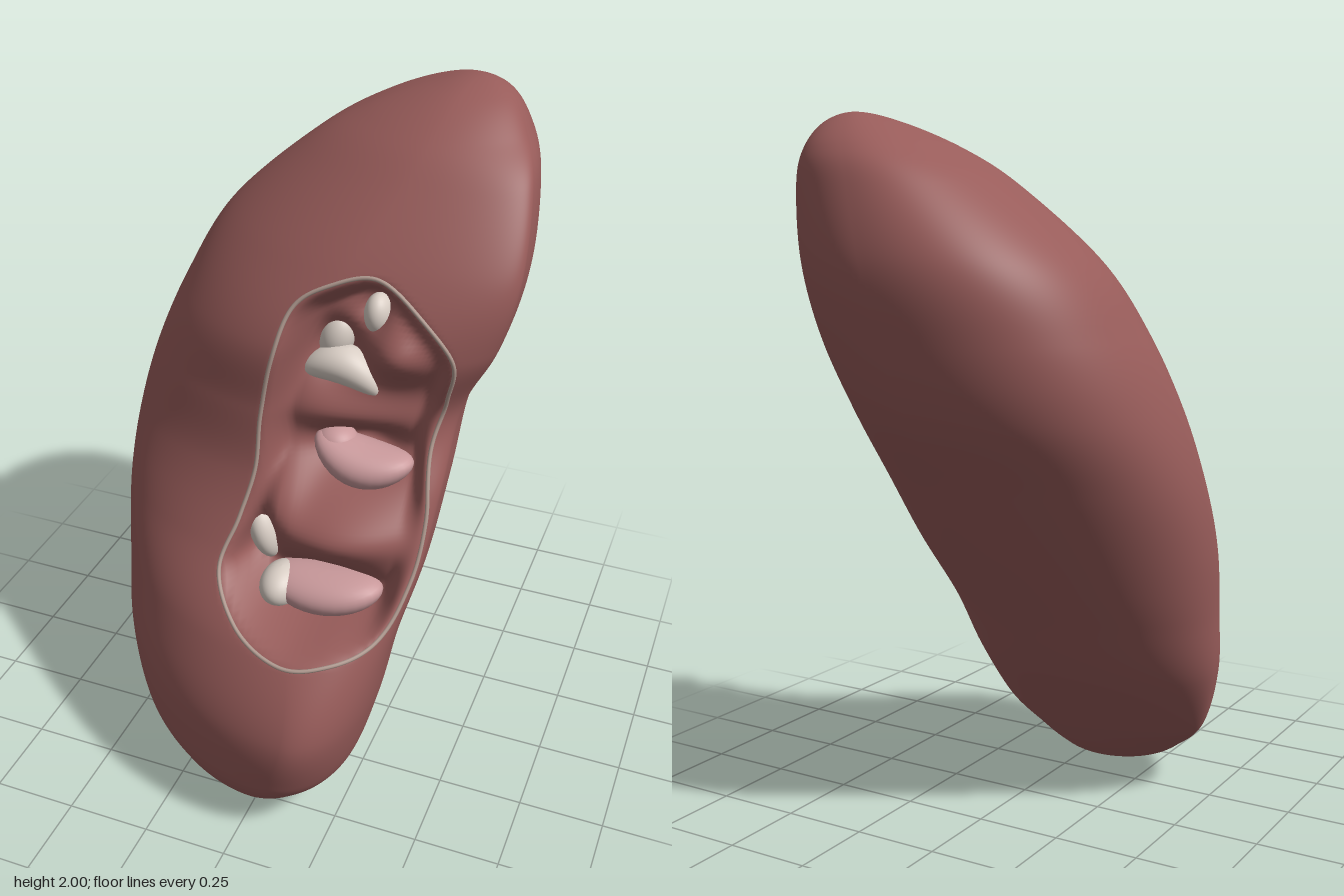
import * as THREE from 'three';

const RED = 0x985c5a, PALE = 0xd9cec5, PINK = 0xc9999b, RIM = 0xb09a90;
const { smoothstep, clamp } = THREE.MathUtils;
const mat = (color) => new THREE.MeshStandardMaterial({ color, side: THREE.DoubleSide });

// Horizontal slices: y, left x & its z, right x & its z, back z & its x, front z & its x
const SLICES = [
  [0, -0.06, 0.42, -0.06, 0.42, 0.42, -0.06, 0.42, -0.06],
  [0.018, -0.18, 0.40, 0.05, 0.44, 0.34, -0.08, 0.50, -0.04],
  [0.05, -0.27, 0.37, 0.12, 0.45, 0.29, -0.10, 0.555, 0.0],
  [0.11, -0.36, 0.32, 0.19, 0.45, 0.22, -0.12, 0.61, 0.03],
  [0.21, -0.465, 0.25, 0.275, 0.42, 0.12, -0.14, 0.657, 0.09],
  [0.4, -0.54, 0.16, 0.33, 0.39, -0.05, -0.14, 0.675, 0.15],
  [0.6, -0.565, 0.10, 0.365, 0.36, -0.19, -0.12, 0.575, 0.13],
  [0.8, -0.58, 0.05, 0.41, 0.27, -0.33, -0.08, 0.39, 0.03],
  [1.0, -0.57, -0.02, 0.43, 0.17, -0.46, -0.04, 0.285, 0.0],
  [1.2, -0.53, -0.10, 0.44, 0.03, -0.585, 0.0, 0.255, -0.02],
  [1.4, -0.46, -0.20, 0.53, 0.05, -0.65, 0.04, 0.245, 0.02],
  [1.6, -0.35, -0.26, 0.575, 0.03, -0.675, 0.08, 0.15, 0.13],
  [1.8, -0.13, -0.29, 0.555, -0.10, -0.63, 0.15, 0.0, 0.24],
  [1.9, 0.03, -0.31, 0.50, -0.22, -0.57, 0.21, -0.10, 0.28],
  [1.972, 0.20, -0.34, 0.43, -0.30, -0.46, 0.28, -0.22, 0.31],
  [2, 0.33, -0.35, 0.33, -0.35, -0.35, 0.33, -0.35, 0.33],
];
const LAST = SLICES.length - 1;

// A row of the table; past either pole it is mirrored through the pole, so the ends are round
function sliceRow(k) {
  if (k >= 0 && k <= LAST) return SLICES[k];
  const pole = SLICES[k < 0 ? 0 : LAST], next = SLICES[k < 0 ? 1 : LAST - 1];
  return next.map((q, c) => (c === 0 ? q : 2 * pole[c] - q));
}

// Smooth slice at parameter v in 0..1 (cubic through the rows)
function slice(v) {
  const f = Math.min(v * LAST, LAST - 1e-6), i = Math.floor(f), t = f - i;
  const [p, q, r, s] = [i - 1, i, i + 1, i + 2].map(sliceRow);
  return q.map((b, c) => {
    const a = p[c], d = r[c], e = s[c];
    return b + 0.5 * t * (d - a + t * (2 * a - 5 * b + 4 * d - e + t * (3 * (b - d) + e - a)));
  });
}

function sliceAtY(y) {
  let lo = 0, hi = 1;
  for (let k = 0; k < 30; k++) {
    const m = (lo + hi) / 2;
    if (slice(m)[0] < y) lo = m; else hi = m;
  }
  return slice(lo);
}

// Fullness of a quarter of a slice: 1 is an ellipse, below 1 is fuller, above 1 is flatter
function fullness(y, right, front) {
  if (front && right) return 1 - 0.18 * smoothstep(y, 0.6, 0.8) * (1 - smoothstep(y, 0.95, 1.15));
  if (front) return 1.16 - 0.1 * smoothstep(y, 0.5, 0.9);
  return right ? 1 : 1 - 0.16 * smoothstep(y, 0.7, 1.3);
}

// Height of the uncut front surface
function frontZ(x, y) {
  const [, xl, zl, xr, zr, , , zf, xf] = sliceAtY(y);
  const right = x > xf, p = fullness(y, right, true), zs = right ? zr : zl;
  const u = Math.min(1, right ? (x - xf) / (xr - xf) : (xf - x) / (xf - xl));
  return zs + (zf - zs) * (1 - u ** (2 / p)) ** (p / 2);
}

// Outline of the opening, as seen from the front
const OPENING = new THREE.CatmullRomCurve3([
  [0.22, 1.6], [0.34, 1.53], [0.44, 1.4], [0.42, 1.27], [0.39, 1.13], [0.41, 0.95], [0.395, 0.78],
  [0.34, 0.65], [0.22, 0.61], [0.1, 0.6], [-0.05, 0.65], [-0.14, 0.75], [-0.11, 0.88],
  [-0.08, 1.02], [-0.07, 1.18], [-0.035, 1.37], [0.01, 1.51], [0.1, 1.57],
].map(([x, y]) => new THREE.Vector3(x, y, 0)), true).getPoints(120);

// Distance inside the opening, 0 outside it
function insideDistance(x, y) {
  let inside = false, best = 1;
  for (let i = 0; i < OPENING.length - 1; i++) {
    const a = OPENING[i], b = OPENING[i + 1], dx = b.x - a.x, dy = b.y - a.y;
    if ((a.y > y) !== (b.y > y) && x < a.x + (y - a.y) * dx / dy) inside = !inside;
    const t = clamp(((x - a.x) * dx + (y - a.y) * dy) / (dx * dx + dy * dy), 0, 1);
    best = Math.min(best, Math.hypot(x - a.x - dx * t, y - a.y - dy * t));
  }
  return inside ? best : 0;
}

// Folds (negative) and pits (positive) of the hollow: x, y, x radius, y radius, depth
const RELIEF = [
  [0.18, 0.89, 0.26, 0.09, -0.12], [0.30, 1.40, 0.11, 0.09, -0.08], [0.16, 1.19, 0.2, 0.06, -0.03],
  [0.0, 0.98, 0.07, 0.09, -0.05], [0.11, 1.36, 0.09, 0.09, 0.1], [0.2, 1.49, 0.05, 0.05, 0.06],
  [0.19, 1.07, 0.13, 0.06, 0.11], [0.12, 0.71, 0.2, 0.06, 0.13], [-0.06, 0.81, 0.05, 0.08, 0.08],
];
function hollowDepth(x, y) {
  const edge = smoothstep(insideDistance(x, y), 0, 0.07);
  return edge && edge * RELIEF.reduce((sum, [cx, cy, rx, ry, d]) =>
    sum + d * Math.exp(-(((x - cx) / rx) ** 2) - ((y - cy) / ry) ** 2), 0.09);
}

// Bean-shaped body: four rounded quarters per slice, with the hollow pressed in
function bodyGeometry(rows = 240, cols = 220) {
  const pos = [], index = [];
  for (let i = 0; i <= rows; i++) {
    const [y, xl, zl, xr, zr, zb, xb, zf, xf] = slice(i / rows);
    for (let j = 0; j < cols; j++) {
      const t = (j / cols) * Math.PI * 2, c = Math.cos(t), s = Math.sin(t);
      const power = fullness(y, c > 0, s > 0);
      const xm = s > 0 ? xf : xb, zm = c > 0 ? zr : zl;
      const x = xm + Math.abs(c) ** power * ((c > 0 ? xr : xl) - xm);
      let z = zm + Math.abs(s) ** power * ((s > 0 ? zf : zb) - zm);
      if (s > 0 && y > 0.55 && y < 1.65 && x > -0.2) z -= hollowDepth(x, y);
      pos.push(x, y, z);
      if (i < rows) {
        const a = i * cols + j, b = i * cols + (j + 1) % cols;
        index.push(a, a + cols, b, b, a + cols, b + cols);
      }
    }
  }
  const g = new THREE.BufferGeometry();
  g.setAttribute('position', new THREE.Float32BufferAttribute(pos, 3));
  g.setIndex(index);
  g.computeVertexNormals();
  return g;
}

// Soft ellipsoid resting on the floor of the hollow; bend curls its ends up
function lump(name, color, x, y, dz, rx, ry, rz, turn = 0, bend = 0) {
  const g = new THREE.SphereGeometry(1, 32, 20).scale(rx, ry, rz);
  const p = g.attributes.position;
  for (let i = 0; i < p.count; i++) p.setY(i, p.getY(i) + bend * p.getX(i) ** 2);
  g.computeVertexNormals();
  const m = new THREE.Mesh(g, mat(color));
  m.name = name;
  m.position.set(x, y, frontZ(x, y) - hollowDepth(x, y) + dz);
  m.rotation.z = turn;
  return m;
}

export function createModel() {
  const group = new THREE.Group();
  group.name = 'organ';
  const body = new THREE.Mesh(bodyGeometry(), mat(RED));
  body.name = 'body';
  group.add(body);

  // Thin pale edge around the opening
  const path = OPENING.slice(0, -1).map((p) => new THREE.Vector3(p.x, p.y, frontZ(p.x, p.y)));
  const rim = new THREE.Mesh(
    new THREE.TubeGeometry(new THREE.CatmullRomCurve3(path, true), 240, 0.006, 8, true), mat(RIM));
  rim.name = 'openingRim';
  group.add(rim);

  // Pale and pink vessel ends between the folds
  group.add(
    lump('topVesselEnd', PALE, 0.21, 1.475, 0.01, 0.038, 0.058, 0.05),
    lump('upperVesselStem', PALE, 0.085, 1.37, 0, 0.05, 0.075, 0.05, -0.3),
    lump('upperVesselMouth', PALE, 0.125, 1.31, 0.02, 0.13, 0.055, 0.06, -0.15, -3),
    lump('middleVessel', PINK, 0.19, 1.03, 0.03, 0.145, 0.065, 0.09, -0.15, 2),
    lump('middleVesselBud', PINK, 0.11, 1.08, 0.03, 0.06, 0.045, 0.06),
    lump('sideVesselEnd', PALE, -0.06, 0.805, 0.02, 0.045, 0.09, 0.06, 0.3),
    lump('lowerVessel', PINK, 0.14, 0.69, 0.02, 0.175, 0.065, 0.1, 0.05, 0.8),
    lump('lowerVesselEnd', PALE, 0.02, 0.69, 0.02, 0.062, 0.06, 0.085),
    lump('lowerVesselTip', PALE, 0.25, 0.72, 0, 0.045, 0.025, 0.05, 0.2),
  );
  return group;
}
